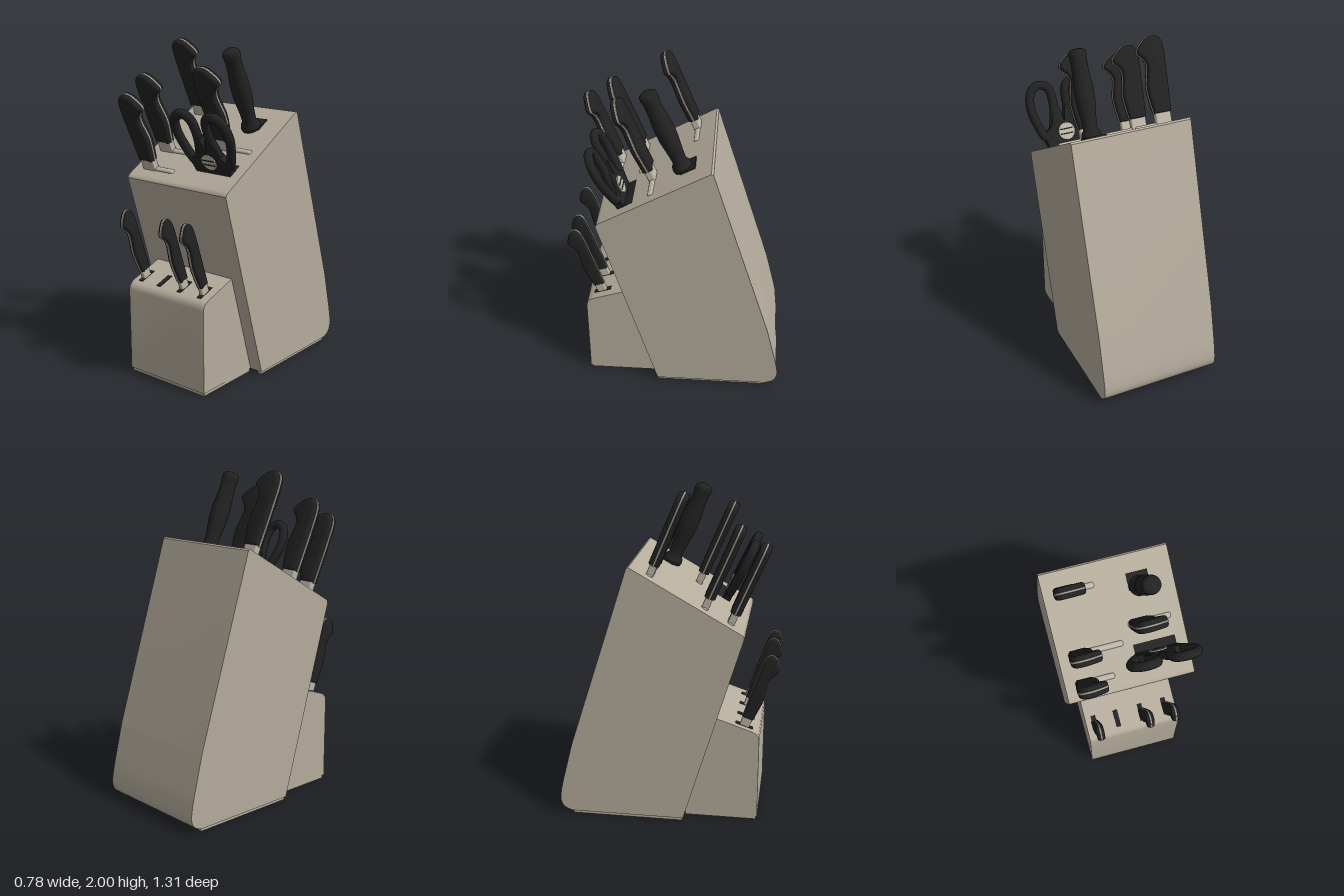
import * as THREE from 'three';
import { toCreasedNormals } from 'three/addons/utils/BufferGeometryUtils.js';
import { RoundedBoxGeometry } from 'three/addons/geometries/RoundedBoxGeometry.js';

const material = (name, color) => Object.assign(new THREE.MeshStandardMaterial({ color }), { name });
const rad = THREE.MathUtils.degToRad;
const vec2 = (pts) => pts.map(([x, y]) => new THREE.Vector2(x, y));

export function createModel() {
  const model = new THREE.Group();
  model.name = 'knifeBlock';
  const wood = material('warm grey wood', 0xb5ac9c);
  const black = material('black plastic', 0x222222);
  const steel = material('brushed steel', 0xbdb6a8);

  const add = (parent, name, geometry, mat, x = 0, y = 0, z = 0) => {
    const mesh = new THREE.Mesh(geometry, mat);
    mesh.name = name;
    mesh.position.set(x, y, z);
    parent.add(mesh);
    return mesh;
  };
  const box = (w, h, d) => new THREE.BoxGeometry(w, h, d);
  const extrude = (shape, options) =>
    toCreasedNormals(new THREE.ExtrudeGeometry(shape, { bevelEnabled: false, ...options }), 0.6);
  const frame = (name, x, y, z, lean) => {
    const group = new THREE.Group();
    group.name = name;
    group.position.set(x, y, z);
    group.rotation.x = rad(lean);
    model.add(group);
    return group;
  };

  // Hollow block: bent wall, open underneath, with two side panels. Points are [z, y].
  function hollowBlock(name, outer, centre, x0, x1) {
    const inner = outer.map(([z, y]) => [
      centre[0] + (z - centre[0]) * 0.95,
      y < 0.03 ? y : centre[1] + (y - centre[1]) * 0.97,
    ]);
    const panel = 0.018;
    const pieces = [
      ['Wall', [...outer, ...inner.reverse()], x1 - panel, x1 - x0 - 2 * panel],
      ['LeftSide', outer, x1, panel],
      ['RightSide', outer, x0 + panel, panel],
    ];
    for (const [part, pts, x, depth] of pieces) {
      const mesh = add(model, name + part, extrude(new THREE.Shape(vec2(pts)), { depth }), wood, x);
      mesh.rotation.y = -Math.PI / 2;
    }
  }
  const back = new THREE.CatmullRomCurve3(
    [[-0.57, 0.47], [-0.6, 0.35], [-0.65, 0.13], [-0.648, 0.075], [-0.625, 0.04], [-0.58, 0.02]]
      .map(([z, y]) => new THREE.Vector3(z, y, 0))).getPoints(20).map((p) => [p.x, p.y]);
  hollowBlock('mainBlock', [[0.11, 0.02], [0.452, 1.175], [0.457, 1.195], [0.452, 1.208],
    [0.435, 1.22], [-0.205, 1.585], [-0.218, 1.578], ...back], [-0.1, 0.75], -0.39, 0.365);
  hollowBlock('frontBlock', [[0.555, 0.02], [0.555, 0.53], [0.55, 0.555], [0.535, 0.572],
    [0.51, 0.585], [0.29, 0.66], [0.1, 0.02]], [0.35, 0.3], -0.305, 0.28);

  // Low rims the blocks stand on
  for (const x of [-0.37, 0.345]) add(model, 'mainRim', box(0.02, 0.03, 0.68), wood, x, 0.015, -0.235);
  for (const x of [-0.29, 0.265]) add(model, 'frontRim', box(0.02, 0.03, 0.43), wood, x, 0.015, 0.33);
  add(model, 'frontRim', box(0.57, 0.03, 0.02), wood, -0.0125, 0.015, 0.538);

  // Dark lining inside the main block
  add(model, 'lining', box(0.71, 1.14, 0.03), black, -0.0125, 0.6, 0.25).rotation.x = rad(16.5);

  // Hooked handle: two black scales around a steel tang, spine at x = 0
  const outline = [[0.012, 0.07], [0.002, 0.3], [0, 0.45], [0.02, 0.505], [0.06, 0.52], [0.11, 0.503],
    [0.168, 0.44], [0.13, 0.39], [0.117, 0.34], [0.138, 0.23], [0.13, 0.14], [0.118, 0.07]];
  function handle(parent, sx, sy, thick) {
    const shape = new THREE.Shape();
    const pts = vec2(outline.map(([x, y]) => [x * sx, y * sy]));
    shape.moveTo(pts[0].x, pts[0].y);
    shape.splineThru(pts.slice(1));
    shape.closePath();
    const bevel = thick * 0.28;
    add(parent, 'handle', extrude(shape, {
      depth: thick - 2 * bevel, curveSegments: 40, bevelEnabled: true,
      bevelSize: bevel, bevelOffset: -bevel, bevelThickness: bevel, bevelSegments: 4,
    }), black, 0, 0, bevel - thick / 2);
    add(parent, 'tang', extrude(shape, {
      depth: 0.008, curveSegments: 40, bevelEnabled: true,
      bevelSize: 0.003, bevelThickness: 0.002, bevelSegments: 1,
    }), steel, 0, 0, -0.004);
    add(parent, 'bolster', new RoundedBoxGeometry(0.1 * sx, 0.12, thick * 0.65, 2, 0.008), steel,
      0.066 * sx, 0.03, 0);
  }

  // Large knives on the sloping top: [name, x, z, size, end of blade heel]
  const topY = (z) => 1.2 + 0.566 * (0.46 - z);
  for (const [name, x, z, size, heel] of [
    ['utilityKnife', -0.34, 0.37, 0.98, -0.095],
    ['chefKnife', -0.34, 0.22, 1.01, -0.005],
    ['breadKnife', -0.34, -0.1, 1.0, -0.09],
    ['carvingKnife', 0.035, 0.14, 1.04, 0.3],
  ]) {
    handle(frame(name, x, topY(z), z, 23), size, size, 0.066);
    const length = heel - x - 0.01;
    const slot = frame(name + 'Heel', x + 0.01 + length / 2, topY(z), z, 29.5);
    add(slot, 'bladeHeel', new RoundedBoxGeometry(length, 0.035, 0.036, 2, 0.014), steel);
  }
  add(frame('spareSlot', -0.18, topY(0.065), 0.065, 29.5), 'slot', box(0.18, 0.008, 0.032), black);

  // Honing rod with a round handle and square guard
  const rod = frame('honingRod', 0.16, topY(-0.04), -0.04, 23);
  const rodProfile = [[0.001, 0], [0.055, 0], [0.06, 0.02], [0.056, 0.04], [0.042, 0.06], [0.045, 0.12],
    [0.057, 0.22], [0.058, 0.3], [0.05, 0.38], [0.047, 0.45], [0.053, 0.49], [0.05, 0.512],
    [0.036, 0.524], [0.001, 0.528]];
  add(rod, 'rodHandle', new THREE.LatheGeometry(vec2(rodProfile), 28), black);
  add(frame('rodGuard', 0.16, topY(-0.07), -0.07, 29.5), 'guard', box(0.125, 0.03, 0.1), black);

  // Scissors
  const scissors = frame('scissors', 0.172, topY(0.31), 0.31, 26);
  const ring = [[0.12, 0.06], [0.172, 0.17], [0.19, 0.27], [0.17, 0.355], [0.115, 0.39],
    [0.06, 0.365], [0.043, 0.28], [0.055, 0.18], [0.08, 0.09]];
  for (const side of [-1, 1]) {
    const curve = new THREE.CatmullRomCurve3(
      ring.map(([x, y]) => new THREE.Vector3(x * side, y, 0)), true);
    add(scissors, 'fingerRing', new THREE.TubeGeometry(curve, 56, 0.027, 10, true), black);
  }
  const body = new THREE.Shape(vec2([[-0.12, -0.01], [0.12, -0.01], [0.145, 0.08], [0.085, 0.13], [0.05, 0.26],
    [0.018, 0.24], [0, 0.15], [-0.018, 0.24], [-0.05, 0.26], [-0.085, 0.13], [-0.145, 0.08]]));
  add(scissors, 'scissorBody', extrude(body, { depth: 0.046 }), black, 0, 0, -0.023);
  add(scissors, 'pivot', new THREE.CylinderGeometry(0.052, 0.052, 0.06, 28), steel, 0, 0.085, 0)
    .rotation.x = Math.PI / 2;
  for (const y of [0.07, 0.1]) add(scissors, 'pivotGroove', box(0.08, 0.008, 0.064), black, 0, y, 0);
  add(frame('scissorSlot', 0.172, topY(0.285), 0.285, 29.5), 'slot', box(0.25, 0.012, 0.095), black);

  // Small front slots with sleeves below; three hold steak knives, one is empty
  const lowY = (z) => 0.66 - 0.34 * (z - 0.29);
  for (const x of [-0.25, -0.105, 0.055, 0.21]) {
    const slot = frame('frontSlot', x, lowY(0.46), 0.46, 18.8);
    add(slot, 'slot', box(0.03, 0.008, 0.11), black);
    add(slot, 'sleeve', box(0.045, 0.42, 0.11), black, 0, -0.24, 0);
    if (x === -0.105) continue;
    const knife = frame('steakKnife', x, lowY(0.455), 0.42, 20);
    const turned = new THREE.Group();
    turned.name = 'steakKnifeHandle';
    turned.rotation.y = -Math.PI / 2;
    knife.add(turned);
    handle(turned, 0.6, 0.94, 0.046);
  }
  return model;
}
